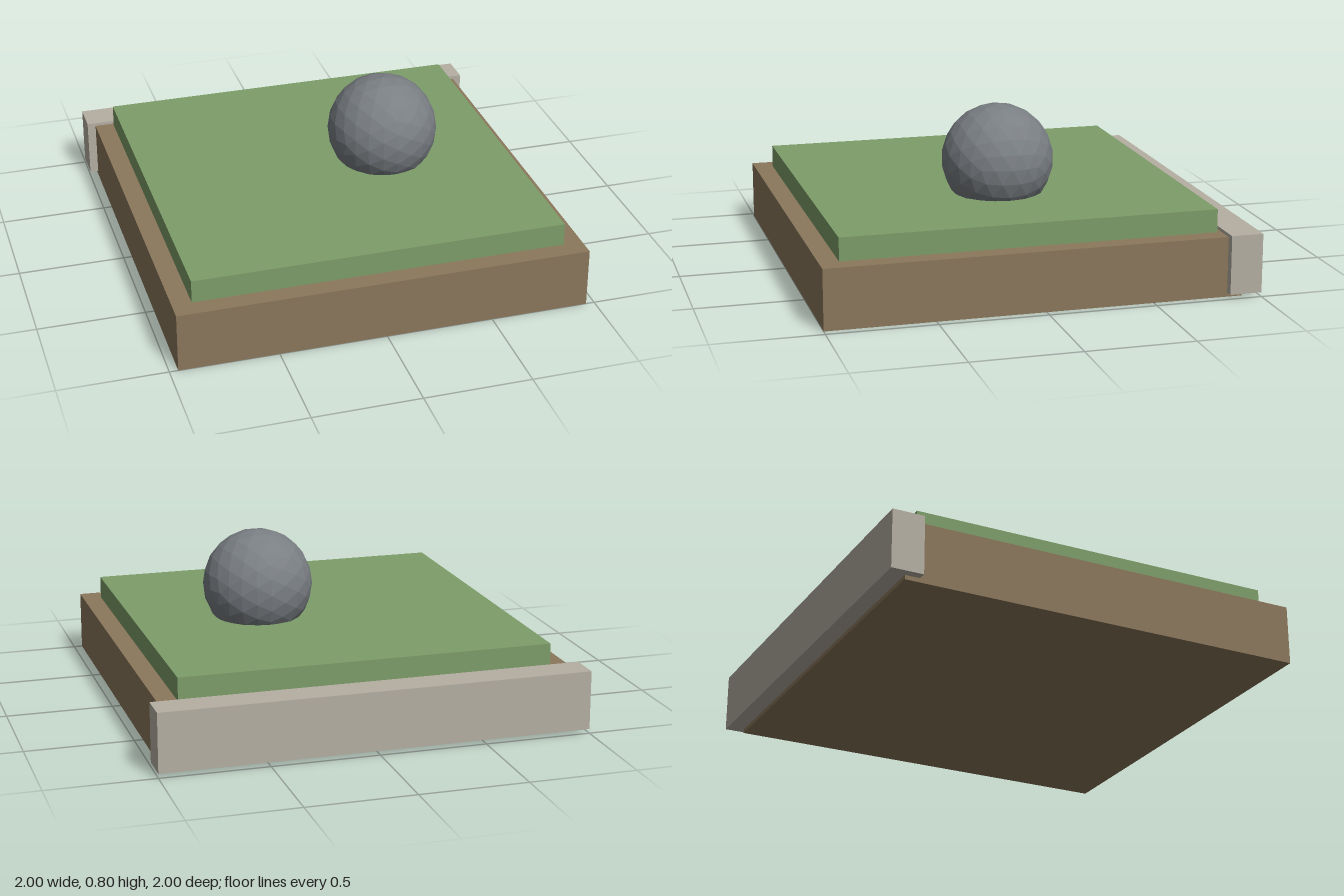
import * as THREE from 'three';

const mat = (color) => new THREE.MeshStandardMaterial({ color, flatShading: true });

// Box given by its lower and upper corners
function block(name, color, min, max) {
  const size = max.map((v, i) => v - min[i]);
  const mesh = new THREE.Mesh(new THREE.BoxGeometry(...size), mat(color));
  mesh.position.set(...max.map((v, i) => (v + min[i]) / 2));
  mesh.name = name;
  return mesh;
}

export function createModel() {
  const model = new THREE.Group();
  model.name = 'gardenTile';

  // Earth slab, raised lawn and the stone kerb along the back
  model.add(
    block('earthBase', 0x8b775c, [-0.96, 0, -0.92], [0.96, 0.28, 1]),
    block('lawn', 0x7d9d69, [-0.87, 0.27, -0.83], [0.87, 0.387, 0.91]),
    block('backKerb', 0xb5afa3, [-1, 0.02, -1], [1, 0.295, -0.85]),
  );

  // Faceted boulder sunk a little into the lawn
  const boulder = new THREE.Mesh(new THREE.IcosahedronGeometry(0.26, 3), mat(0x7a7f84));
  boulder.position.set(0.275, 0.54, 0.038);
  boulder.name = 'boulder';
  model.add(boulder);

  return model;
}
